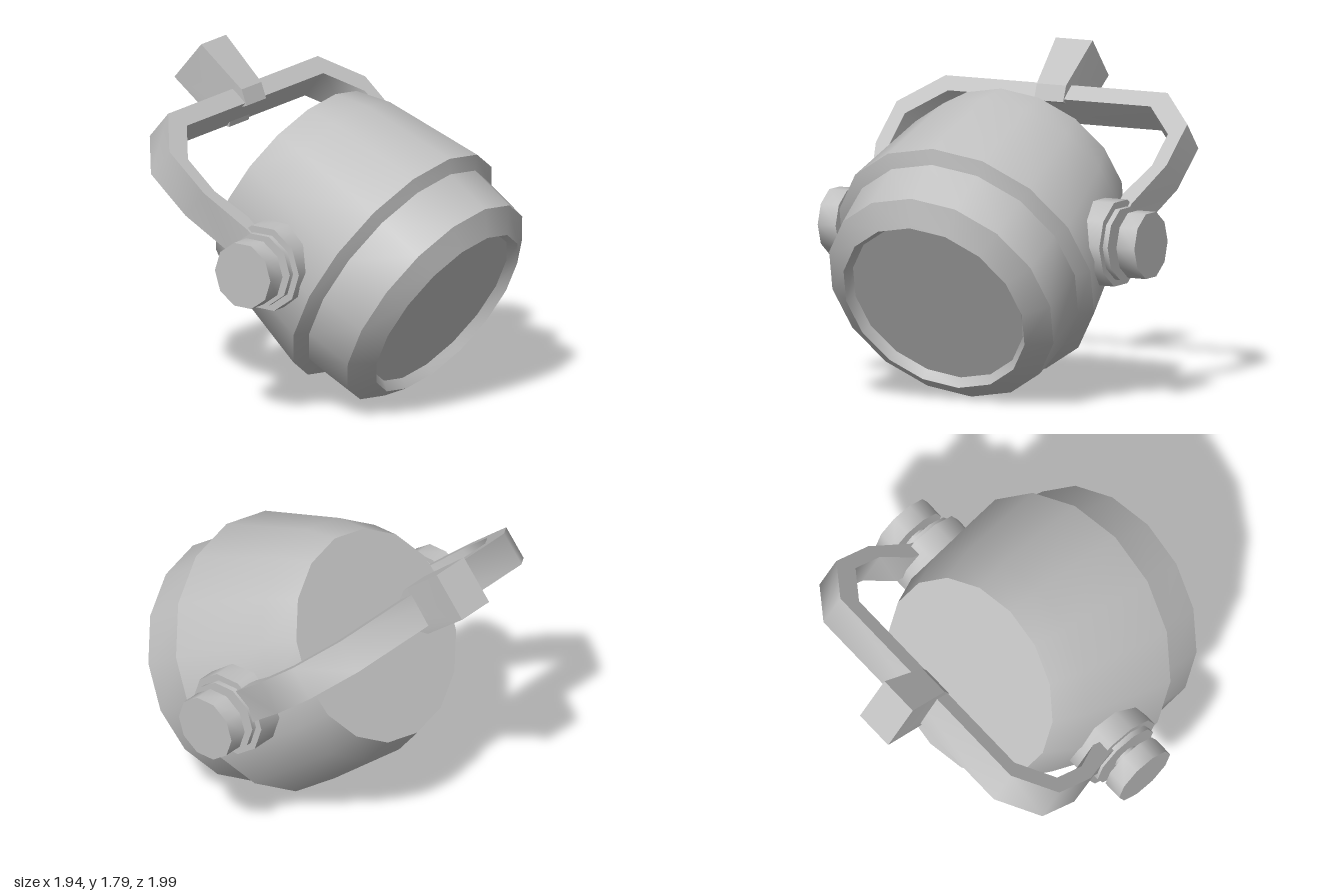
import * as THREE from 'three';
import { toCreasedNormals } from 'three/addons/utils/BufferGeometryUtils.js';

const grey = new THREE.MeshStandardMaterial({ color: 0xc0c0c0 });
grey.name = 'light grey';

function part(name, geometry, parent, crease = 0.72) {
  const mesh = new THREE.Mesh(toCreasedNormals(geometry, crease), grey);
  mesh.name = name;
  parent.add(mesh);
  return mesh;
}

const vectors = (list) => list.map(([x, y]) => new THREE.Vector2(x, y));

// Extrusion centred on its own depth
function slab(points, depth) {
  const g = new THREE.ExtrudeGeometry(new THREE.Shape(vectors(points)), { depth, bevelEnabled: false });
  return g.translate(0, 0, -depth / 2);
}

export function createModel() {
  const model = new THREE.Group();
  model.name = 'spotlight';

  // Lamp housing: back cap, tapered can, step, front collar, bevel and recessed lens
  const housing = part('lampHousing', new THREE.LatheGeometry(vectors([
    [0, -0.823], [0.578, -0.823], [0.655, -0.63], [0.757, -0.052], [0.685, -0.005],
    [0.667, 0.272], [0.538, 0.365], [0.505, 0.315], [0, 0.315],
  ]), 16), model);
  housing.rotation.x = THREE.MathUtils.degToRad(120);
  housing.position.set(0, 0.717, 0.414);

  // Everything below hangs on the tilt axis
  const pivot = new THREE.Group();
  pivot.name = 'pivot';
  pivot.position.set(0, 0.86, 0.083);
  model.add(pivot);

  // Discs along the x axis: [name, inner x, outer x, radius]
  const discs = [
    ['pivotBoss', 0.55, 0.785, 0.238],
    ['washer', 0.78, 0.815, 0.2],
    ['shaft', 0.8, 0.87, 0.075],
    ['knob', 0.86, 0.97, 0.184],
  ];
  for (const [side, sign] of [['left', 1], ['right', -1]]) {
    for (const [name, from, to, radius] of discs) {
      const g = new THREE.CylinderGeometry(radius, radius, to - from, 10);
      g.rotateZ(-Math.PI / 2).translate((from + to) / 2, 0, 0);
      if (sign < 0) g.rotateY(Math.PI);
      part(`${side} ${name}`, g, pivot);
    }
  }

  // Tilted carrying yoke, drawn as one half outline and mirrored
  const yoke = new THREE.Group();
  yoke.name = 'yoke';
  yoke.rotation.x = THREE.MathUtils.degToRad(-50);
  pivot.add(yoke);
  const outer = [[0.80, -0.05], [0.80, 0.2], [0.89, 0.49], [0.89, 0.79], [0.68, 1.0]];
  const inner = [[0.62, 0.895], [0.805, 0.71], [0.805, 0.48], [0.72, 0.27], [0.72, -0.05]];
  const mirror = (pts) => pts.map(([x, y]) => [-x, y]).reverse();
  part('yokeArch', slab([...outer, ...mirror(outer), ...mirror(inner), ...inner], 0.19), yoke, 0.9);

  // Mounting clamp, narrower toward the yoke
  const clamp = slab([
    [-0.138, 1.29], [-0.135, 0.955], [-0.09, 0.88], [0, 0.93],
    [0.09, 0.88], [0.135, 0.96], [0.138, 1.29],
  ], 0.226).rotateY(-Math.PI / 2);
  const p = clamp.attributes.position;
  for (let i = 0; i < p.count; i++) {
    const k = THREE.MathUtils.clamp((p.getY(i) - 0.955) / 0.335, 0, 1);
    p.setX(i, p.getX(i) * (0.79 + 0.21 * k));
  }
  part('mountingClamp', clamp, yoke, 0.5);

  return model;
}
